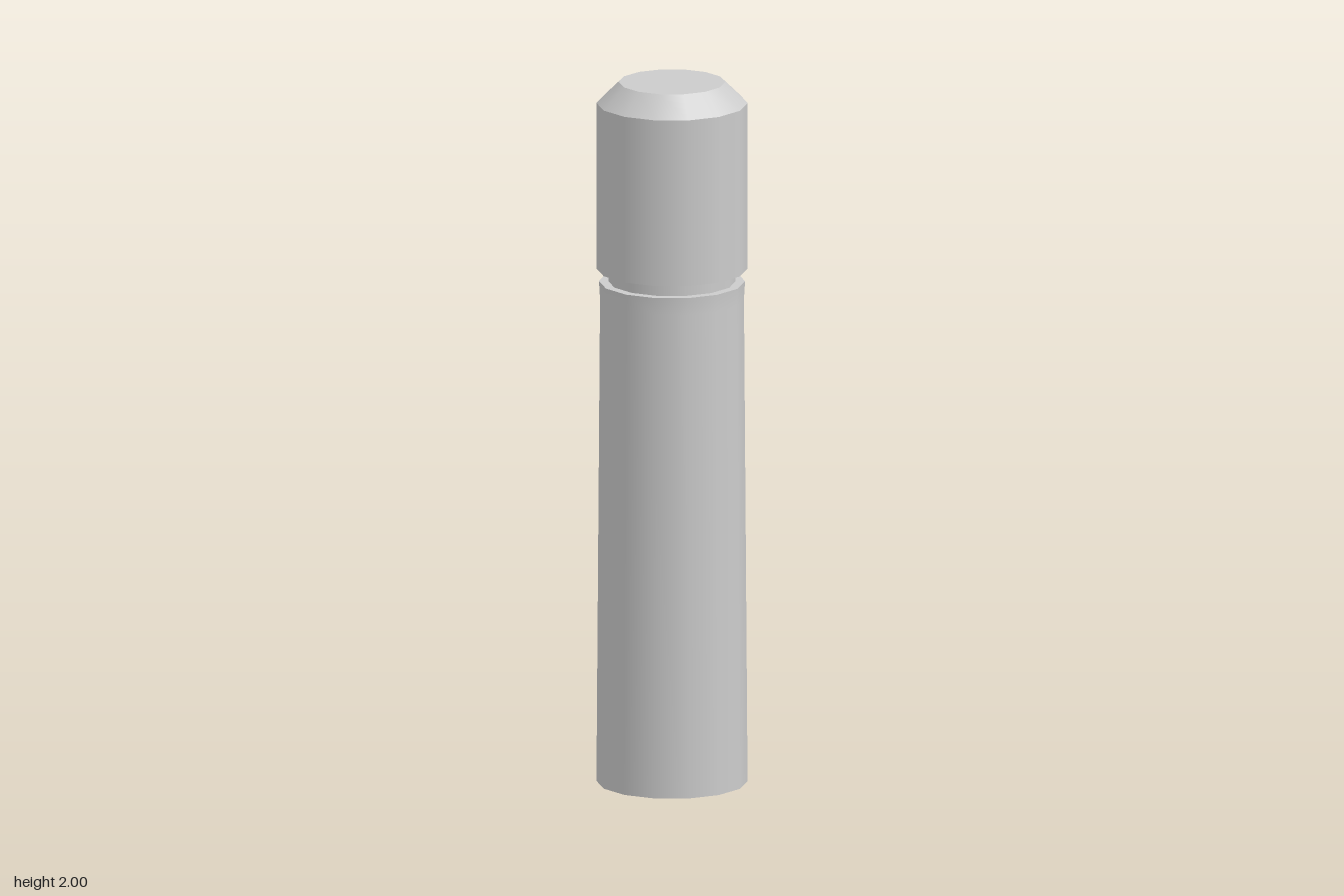
import * as THREE from 'three';
import { mergeGeometries } from 'three/addons/utils/BufferGeometryUtils.js';

const SIDES = 14;

// Revolves each run of [radius, height] points separately, so edges between runs stay sharp.
function turned(name, runs, material) {
  const parts = runs.map((run) => new THREE.LatheGeometry(
    run.map(([r, y]) => new THREE.Vector2(r, y)), SIDES, Math.PI / 2));
  const mesh = new THREE.Mesh(mergeGeometries(parts), material);
  mesh.name = name;
  return mesh;
}

export function createModel() {
  const group = new THREE.Group();
  group.name = 'cappedCylinder';
  const grey = new THREE.MeshStandardMaterial({ color: 0xcccccc });

  // Long body, tapering slightly upward to a faint lip
  group.add(turned('body', [
    [[0, 0], [0.21, 0]],
    [[0.21, 0], [0.2, 1.38], [0.203, 1.43]],
    [[0.203, 1.43], [0.177, 1.43]],
  ], grey));

  // Recessed groove between body and cap
  group.add(turned('neck', [[[0.177, 1.43], [0.177, 1.466]]], grey));

  // Cap with a chamfered top
  group.add(turned('cap', [
    [[0.177, 1.466], [0.21, 1.466]],
    [[0.21, 1.466], [0.21, 1.94]],
    [[0.21, 1.94], [0.148, 2]],
    [[0.148, 2], [0, 2]],
  ], grey));

  return group;
}
